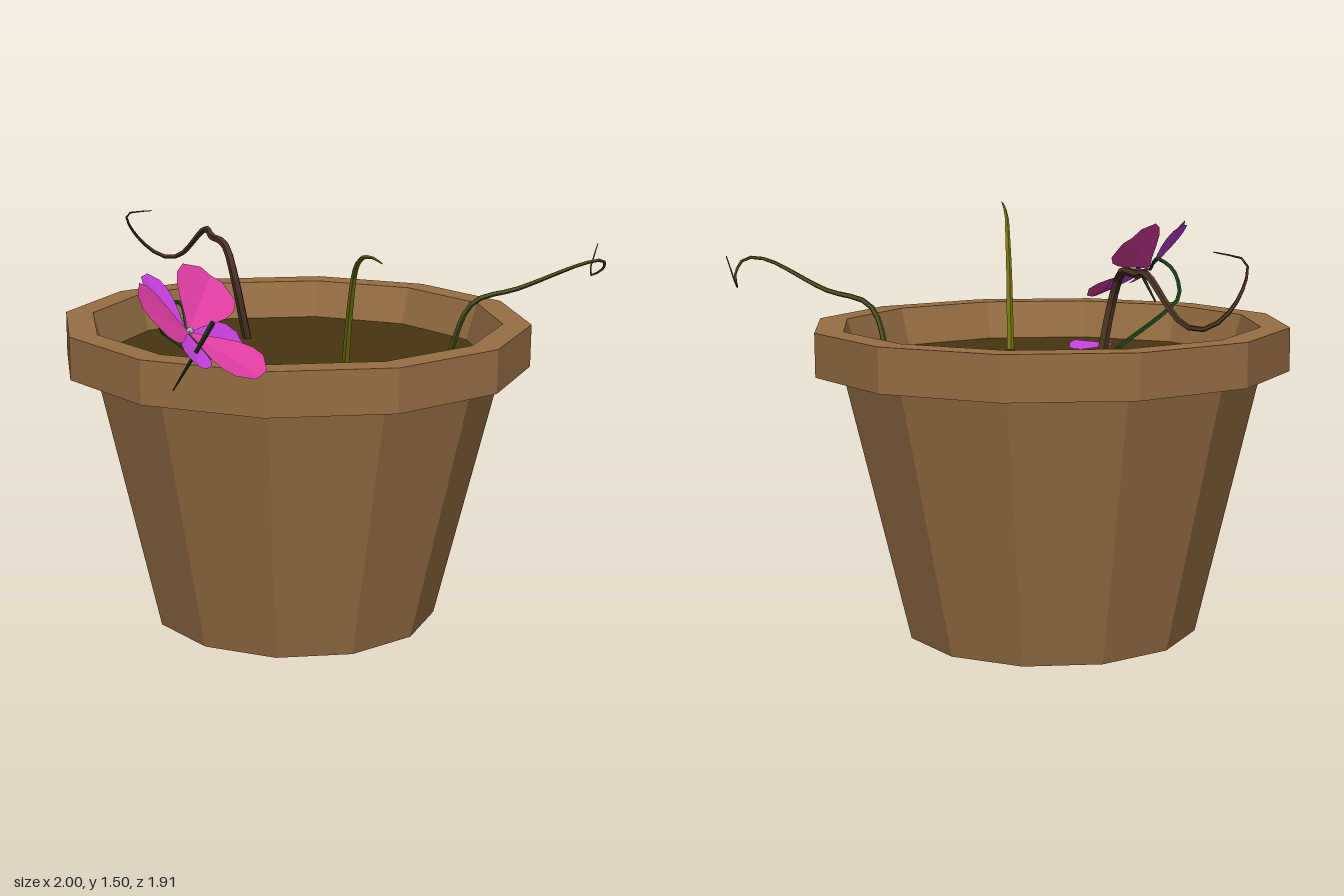
import * as THREE from 'three';

const mat = (color, side = THREE.FrontSide) =>
  new THREE.MeshStandardMaterial({ color, side, flatShading: true });

function add(parent, name, geometry, material) {
  const mesh = new THREE.Mesh(geometry, material);
  mesh.name = name;
  parent.add(mesh);
  return mesh;
}

// Tube along points whose radius shrinks from r0 to r1
function taperedStem(points, r0, r1) {
  const curve = new THREE.CatmullRomCurve3(points.map((p) => new THREE.Vector3(...p)), false, 'centripetal');
  const rows = points.length * 3;
  const sides = 5;
  const geo = new THREE.TubeGeometry(curve, rows, 1, sides, false);
  const pos = geo.attributes.position;
  const v = new THREE.Vector3();
  for (let i = 0; i <= rows; i++) {
    const centre = curve.getPointAt(i / rows);
    const r = THREE.MathUtils.lerp(r0, r1, (i / rows) ** 1.5);
    for (let j = 0; j <= sides; j++) {
      const k = i * (sides + 1) + j;
      v.fromBufferAttribute(pos, k).sub(centre).multiplyScalar(r).add(centre);
      pos.setXYZ(k, v.x, v.y, v.z);
    }
  }
  geo.computeVertexNormals();
  return geo;
}

// Petal from cross-sections, widest at t = peak; edges curl by cup along the normal
function petal(base, reach, axis, halfWidth, peak, cup) {
  const across = axis.clone().cross(reach).normalize();
  const normal = reach.clone().cross(across).normalize();
  const rows = 6;
  const verts = [];
  const index = [];
  for (let i = 0; i <= rows; i++) {
    const t = i / rows;
    const w = halfWidth * (t < peak
      ? 0.05 + 0.95 * Math.sin((t / peak) * Math.PI / 2) ** 1.4
      : Math.sqrt(1 - 0.85 * ((t - peak) / (1 - peak)) ** 2));
    for (const s of [-1, 0, 1]) {
      const p = base.clone().addScaledVector(reach, t).addScaledVector(across, s * w)
        .addScaledVector(normal, Math.abs(s) * w * cup);
      verts.push(p.x, p.y, p.z);
    }
    if (i === 0) continue;
    for (let j = 0; j < 2; j++) {
      const a = (i - 1) * 3 + j;
      index.push(a, a + 1, a + 3, a + 1, a + 4, a + 3);
    }
  }
  const geo = new THREE.BufferGeometry();
  geo.setAttribute('position', new THREE.Float32BufferAttribute(verts, 3));
  geo.setIndex(index);
  geo.computeVertexNormals();
  return geo;
}

export function createModel() {
  const model = new THREE.Group();
  model.name = 'flowerPot';

  // Twelve-sided pot with an overhanging rim
  const pot = new THREE.Group();
  pot.name = 'pot';
  pot.position.set(0.1375, 0, 0.045);
  model.add(pot);
  const profile = [[0, 0], [0.533, 0], [0.76, 0.965], [0.86, 0.965], [0.86, 1.12], [0.757, 1.12], [0.713, 0.97]]
    .map(([x, y]) => new THREE.Vector2(x, y));
  add(pot, 'potWall', new THREE.LatheGeometry(profile, 12), mat(0x966e43));
  const soil = add(pot, 'soil', new THREE.CircleGeometry(0.717, 12).rotateX(-Math.PI / 2), mat(0x46350f));
  soil.position.y = 0.98;

  // Stems growing out of the soil
  const stem = (name, color, r0, r1, points) =>
    add(model, name, taperedStem(points, r0, r1), mat(color, THREE.DoubleSide));
  stem('oliveStem', 0x75720f, 0.014, 0.002, [
    [-0.02, 0.97, 0.38], [-0.11, 1.26, 0.465], [-0.165, 1.39, 0.52],
    [-0.25, 1.45, 0.6], [-0.39, 1.49, 0.74], [-0.51, 1.5, 0.86]]);
  stem('witheredStem', 0x4a3322, 0.018, 0.002, [
    [0.27, 0.97, -0.28], [0.21, 1.24, -0.3], [0.24, 1.33, -0.36], [0.34, 1.34, -0.51],
    [0.43, 1.35, -0.62], [0.51, 1.21, -0.83], [0.49, 1.205, -0.9], [0.42, 1.27, -0.95],
    [0.28, 1.4, -0.9], [0.29, 1.425, -0.78]]);
  stem('curlingStem', 0x4f5220, 0.011, 0.002, [
    [0.54, 0.97, 0.46], [0.53, 1.18, 0.565], [0.62, 1.235, 0.7], [0.71, 1.34, 0.92],
    [0.77, 1.345, 0.955], [0.85, 1.3, 0.92], [0.92, 1.26, 0.83], [0.955, 1.37, 0.84]]);
  stem('flowerStem', 0x1f4a1c, 0.009, 0.006, [
    [-0.3, 0.97, 0.1], [-0.43, 1.12, -0.05], [-0.49, 1.17, -0.065],
    [-0.545, 1.26, 0], [-0.59, 1.3, 0.11], [-0.735, 1.24, 0.262]]);
  stem('tendril', 0x1c3a1c, 0.009, 0.002, [
    [-0.81, 1.31, 0.43], [-0.81, 1.22, 0.37], [-0.795, 1.06, 0.25]]);

  // Flower: three broad pink petals between three narrow purple ones
  const flower = new THREE.Group();
  flower.name = 'flower';
  model.add(flower);
  const centre = new THREE.Vector3(-0.735, 1.245, 0.268);
  const axis = new THREE.Vector3(0.1, 0.72, 0.69).normalize();
  const behind = centre.clone().addScaledVector(axis, -0.006);
  const pink = mat(0xe23ea4, THREE.DoubleSide);
  const purple = mat(0xc540dc, THREE.DoubleSide);
  for (const tip of [[-0.265, 0.125, 0.04], [0.235, 0.14, -0.1], [0.075, -0.125, 0.235]]) {
    add(flower, 'pinkPetal', petal(centre, new THREE.Vector3(...tip), axis, 0.118, 0.72, 0.12), pink);
  }
  for (const tip of [[-0.05, 0.18, -0.14], [-0.14, -0.06, 0.165], [0.23, -0.05, 0.03]]) {
    add(flower, 'purplePetal', petal(behind, new THREE.Vector3(...tip), axis, 0.058, 0.7, 0.12), purple);
  }
  const heart = add(flower, 'flowerHeart', new THREE.IcosahedronGeometry(0.014, 0), mat(0xd8d0d8));
  heart.position.copy(centre).addScaledVector(axis, 0.008);

  // Fallen petal lying on the soil
  add(model, 'fallenPetal', petal(new THREE.Vector3(-0.188, 1.015, 0), new THREE.Vector3(0, 0, 0.2),
    new THREE.Vector3(0, 1, 0), 0.088, 0.6, -0.25), purple);

  return model;
}
